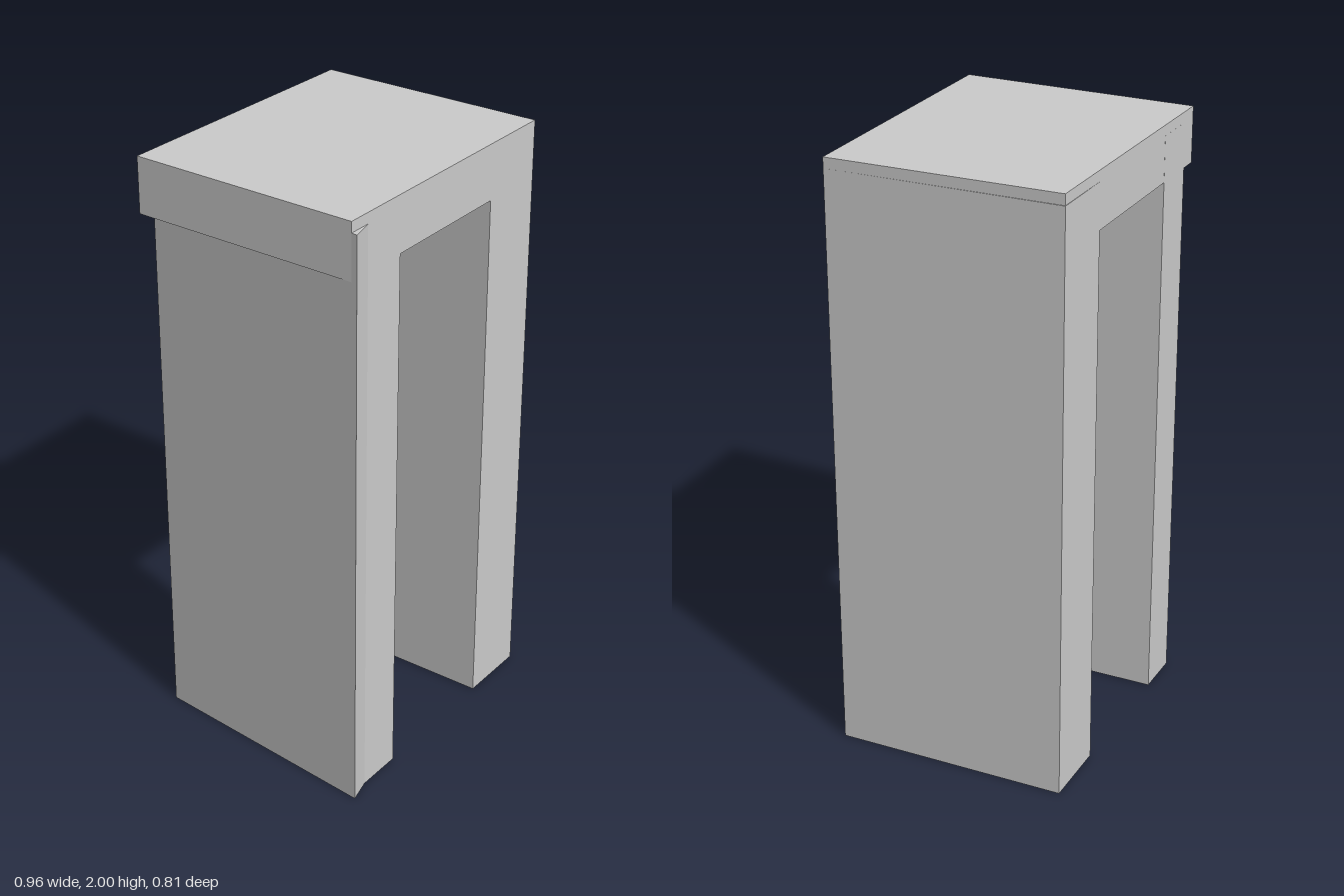
import * as THREE from 'three';

const material = new THREE.MeshStandardMaterial({ color: 0xcccccc, flatShading: true });

// Upright prism over a plan outline of [x, z] corners
function prism(name, plan, bottom, top) {
  const shape = new THREE.Shape(plan.map(([x, z]) => new THREE.Vector2(x, -z)));
  const geometry = new THREE.ExtrudeGeometry(shape, { depth: top - bottom, bevelEnabled: false });
  geometry.rotateX(-Math.PI / 2).translate(0, bottom, 0);
  const mesh = new THREE.Mesh(geometry, material);
  mesh.name = name;
  return mesh;
}

export function createModel() {
  const group = new THREE.Group();
  group.name = 'archway';

  // Slightly skewed lintel slab
  group.add(prism('topSlab',
    [[-0.479, 0.385], [0.48, 0.385], [0.477, -0.39], [-0.463, -0.408]], 1.815, 2));

  // Straight wall on the model's left
  group.add(prism('leftWall',
    [[0.24, 0.385], [0.48, 0.385], [0.48, -0.392], [0.24, -0.395]], 0, 1.965));

  // Wall on the model's right: outer face slants in toward the back, front corner juts out
  group.add(prism('rightWall',
    [[-0.481, 0.405], [-0.4, 0.385], [-0.24, 0.385], [-0.24, -0.404], [-0.4, -0.407]], 0, 1.965));

  return group;
}
